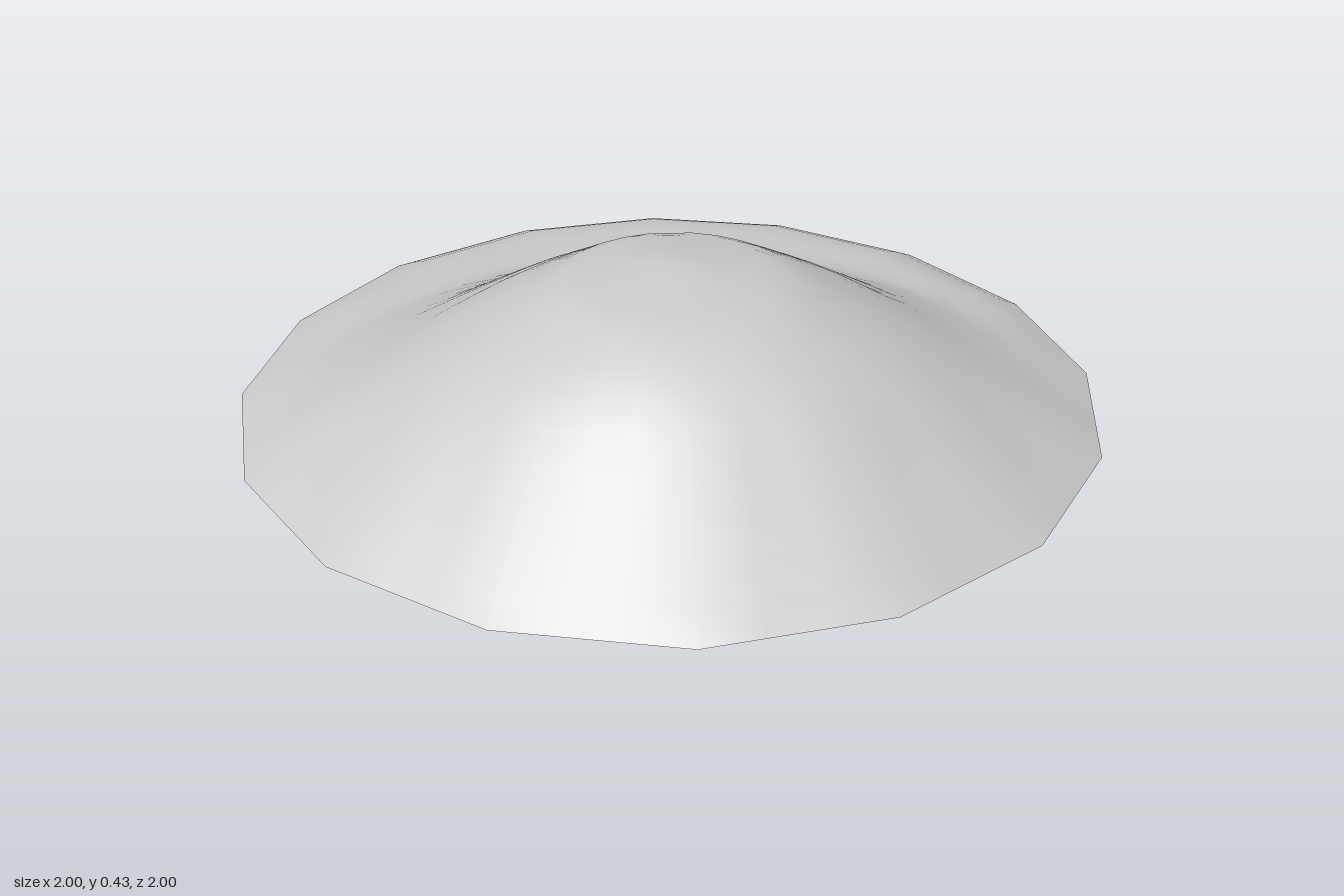
import * as THREE from 'three';

const SIDES = 16, SEGMENTS = 48, RINGS = 18;
const SUMMIT = new THREE.Vector2(0.18, 0.18);

// Hill profile: distance from the summit, height
const PROFILE = [[0, 0.435], [0.25, 0.4], [0.45, 0.3], [0.71, 0.155], [0.9, 0.076], [1.07, 0.066], [2, 0.06]];

function profileHeight(r) {
  const i = PROFILE.findIndex(([end]) => end > r);
  const [r0, h0] = PROFILE[i - 1], [r1, h1] = PROFILE[i];
  return THREE.MathUtils.lerp(h0, h1, (r - r0) / (r1 - r0));
}

// Minimum of two heights with a rounded transition
function softMin(a, b, k) {
  const d = Math.max(k - Math.abs(a - b), 0) / k;
  return Math.min(a, b) - d * d * k * 0.25;
}

// Distance to the short gully at the foot of the hill
const GULLY_A = new THREE.Vector2(-0.47, -0.22), GULLY_B = new THREE.Vector2(-0.2, -0.37);
function gullyDistance(p) {
  const ab = GULLY_B.clone().sub(GULLY_A);
  const k = THREE.MathUtils.clamp(p.clone().sub(GULLY_A).dot(ab) / ab.lengthSq(), 0, 1);
  return p.distanceTo(ab.multiplyScalar(k).add(GULLY_A));
}

// t runs from 0 in the middle to 1 at the rim
function heightAt(p, t, angle) {
  // The skirt is steepest on the side nearest the summit
  const skirt = (0.48 + 0.55 * Math.max(Math.cos(angle - Math.PI / 4), 0)) * (1 - t);
  const q = p.clone().sub(SUMMIT);
  const slope = profileHeight(Math.max(q.length() - 0.06 * (q.x + q.y), 0));
  const h = softMin(slope, skirt, 0.04);
  const dip = 0.88 * Math.exp(-((gullyDistance(p) / 0.08) ** 2));
  return THREE.MathUtils.lerp(h, Math.min(h, 0.01), dip);
}

export function createModel() {
  const group = new THREE.Group();
  group.name = 'hill';
  const stone = new THREE.MeshStandardMaterial({ color: 0xcccccc, side: THREE.DoubleSide });
  stone.name = 'pale grey';

  // Rings of points from the middle out to the sixteen-sided rim
  const positions = [0, heightAt(new THREE.Vector2(0, 0), 0, Math.PI / 4), 0];
  const index = [];
  const half = Math.PI / SIDES;
  for (let i = 1; i <= RINGS; i++) {
    const t = i / RINGS;
    for (let j = 0; j < SEGMENTS; j++) {
      const a = (j / SEGMENTS) * Math.PI * 2;
      const rim = Math.cos(half) / Math.cos((a % (2 * half)) - half);
      const p = new THREE.Vector2(Math.cos(a), Math.sin(a)).multiplyScalar(rim * t);
      positions.push(p.x, heightAt(p, t, a), p.y);
    }
  }
  const at = (i, j) => 1 + (i - 1) * SEGMENTS + (j % SEGMENTS);
  for (let j = 0; j < SEGMENTS; j++) {
    index.push(0, at(1, j + 1), at(1, j));
    for (let i = 1; i < RINGS; i++) {
      index.push(at(i, j), at(i, j + 1), at(i + 1, j));
      index.push(at(i, j + 1), at(i + 1, j + 1), at(i + 1, j));
    }
  }
  const geometry = new THREE.BufferGeometry();
  geometry.setAttribute('position', new THREE.Float32BufferAttribute(positions, 3));
  geometry.setIndex(index);
  geometry.computeVertexNormals();

  const mound = new THREE.Mesh(geometry, stone);
  mound.name = 'mound';
  group.add(mound);
  return group;
}
